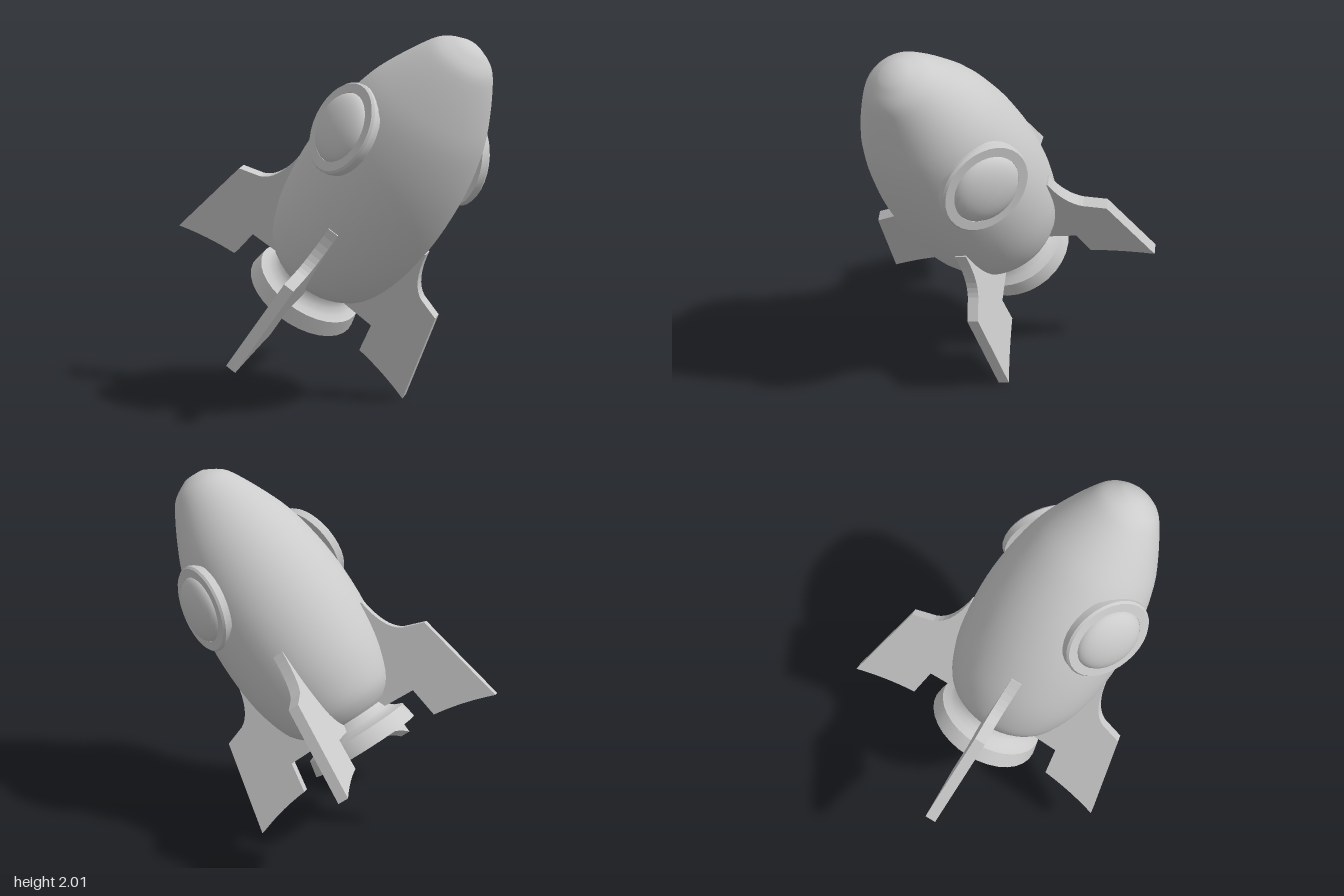
import * as THREE from 'three';
import { toCreasedNormals } from 'three/addons/utils/BufferGeometryUtils.js';

const material = new THREE.MeshStandardMaterial({ color: 0xcccccc });

function part(name, geometry) {
  const mesh = new THREE.Mesh(geometry, material);
  mesh.name = name;
  return mesh;
}

// Turned part from [radius, height] pairs, bottom to top
function turned(name, profile, segments = 32, crease = 0.6) {
  const points = profile.map(([r, h]) => new THREE.Vector2(r, h));
  return part(name, toCreasedNormals(new THREE.LatheGeometry(points, segments), crease));
}

// Swept fin outline: x is the distance from the axis, y the height along it
function finGeometry() {
  const thickness = 0.06;
  const shape = new THREE.Shape();
  shape.moveTo(0.2, 0.25);
  shape.lineTo(0.413, 0.243);
  shape.lineTo(0.44, 0.07);
  shape.quadraticCurveTo(0.62, 0.05, 0.79, -0.01);
  shape.lineTo(0.67, 0.525);
  shape.lineTo(0.55, 0.565);
  shape.quadraticCurveTo(0.46, 0.61, 0.43, 0.8);
  shape.lineTo(0.36, 0.8);
  shape.closePath();
  const geometry = new THREE.ExtrudeGeometry(shape, { depth: thickness, bevelEnabled: false, curveSegments: 8 });
  return geometry.translate(0, 0, -thickness / 2);
}

// Round window: flat ring with a domed pane, following the taper of the hull
function porthole(angle) {
  const holder = new THREE.Group();
  holder.name = 'porthole';
  holder.rotation.y = angle;
  const mount = new THREE.Group();
  mount.position.y = 1.17;
  mount.rotation.z = -Math.PI / 2 + 0.15;
  mount.add(turned('portholeRing', [
    [0.185, 0.36], [0.245, 0.36], [0.245, 0.4], [0.235, 0.412], [0.185, 0.412], [0.185, 0.36],
  ]));
  const dome = [];
  for (let i = 0; i <= 8; i++) {
    const t = (i / 8) * Math.PI / 2;
    dome.push([0.188 * Math.cos(t), 0.395 + 0.08 * Math.sin(t)]);
  }
  mount.add(turned('portholePane', dome, 32, 1));
  holder.add(mount);
  return holder;
}

export function createModel() {
  const model = new THREE.Group();
  model.name = 'rocket';

  // Tilted frame: local y runs along the rocket, local x toward the first fin
  const rocket = new THREE.Group();
  rocket.name = 'tiltedRocket';
  const axis = new THREE.Vector3(0.462, 0.789, 0.403).normalize();
  const side = new THREE.Vector3(-0.78, 0.577, -0.244);
  side.addScaledVector(axis, -side.dot(axis)).normalize();
  const depth = new THREE.Vector3().crossVectors(side, axis);
  rocket.quaternion.setFromRotationMatrix(new THREE.Matrix4().makeBasis(side, axis, depth));
  rocket.position.set(-0.2, 0.46, -0.1);
  model.add(rocket);

  // Hull, a smooth curve through a few radii with a small blunt tip
  const hullCurve = new THREE.SplineCurve([
    [0.2, 0.28], [0.255, 0.31], [0.325, 0.38], [0.375, 0.5], [0.41, 0.65], [0.427, 0.85],
    [0.424, 1.05], [0.4, 1.25], [0.352, 1.45], [0.29, 1.6], [0.212, 1.75], [0.155, 1.83], [0.065, 1.885],
  ].map(([r, h]) => new THREE.Vector2(r, h)));
  const hull = hullCurve.getPoints(36).map((p) => [p.x, p.y]);
  rocket.add(turned('hull', [...hull, [0, 1.892]], 40, 0.8));

  // Engine nozzle: closed disc, rim and concave neck
  rocket.add(turned('nozzle', [
    [0, 0.115], [0.322, 0.115], [0.305, 0.205], [0.265, 0.22], [0.235, 0.245], [0.218, 0.28], [0.215, 0.33],
  ]));

  // Four fins
  const finShape = finGeometry();
  for (let i = 0; i < 4; i++) {
    const fin = part('fin', finShape);
    fin.rotation.y = i * Math.PI / 2;
    rocket.add(fin);
  }

  // Two opposite portholes between the fins
  rocket.add(porthole(Math.PI / 4), porthole(Math.PI * 5 / 4));

  return model;
}
